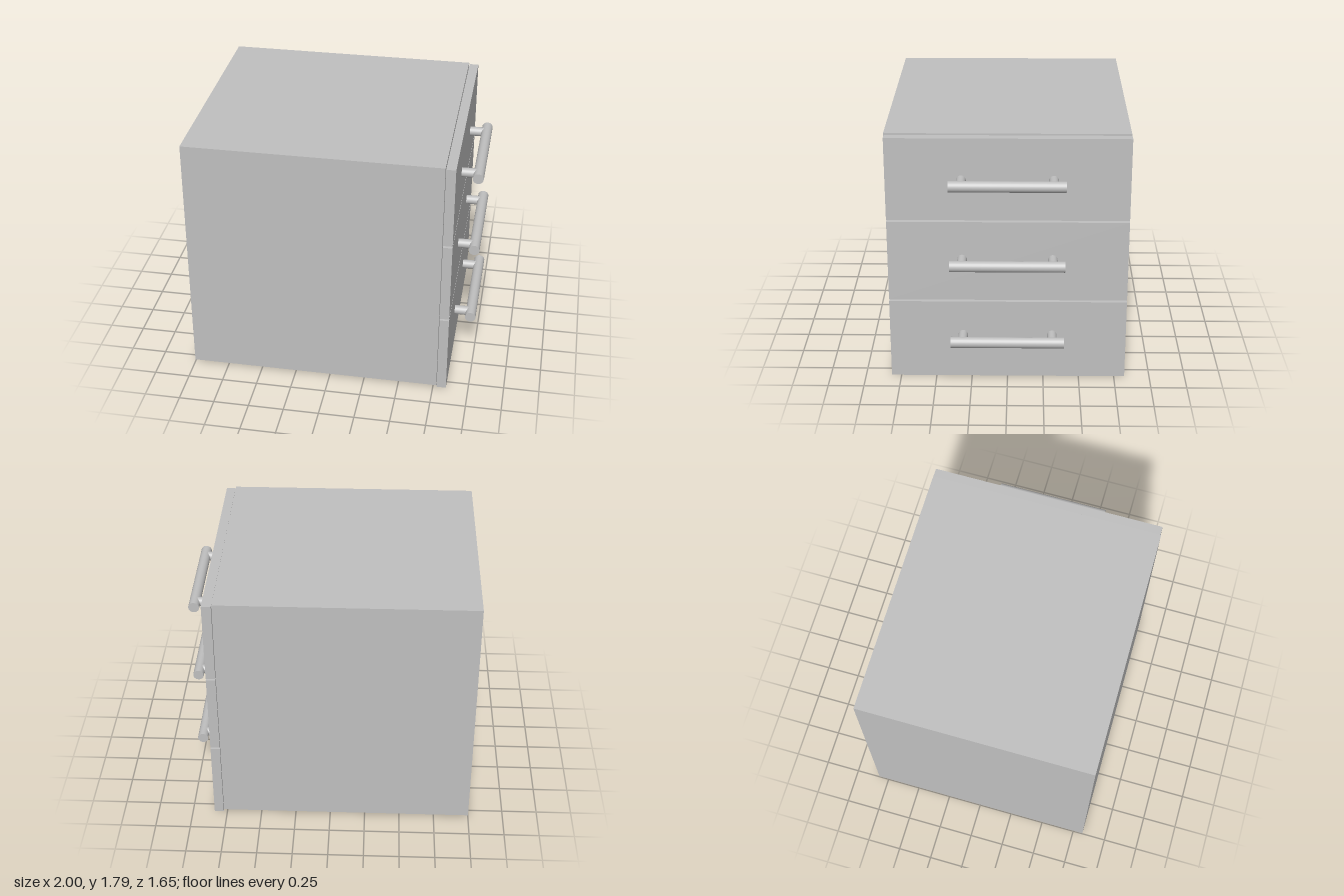
import * as THREE from 'three';

export function createModel() {
  const model = new THREE.Group();
  model.name = 'drawerCabinet';

  const grey = new THREE.MeshStandardMaterial({ color: 0xc0c0c0, side: THREE.DoubleSide });
  grey.name = 'light grey';

  const add = (parent, name, geometry, x, y, z) => {
    const mesh = new THREE.Mesh(geometry, grey);
    mesh.name = name;
    mesh.position.set(x, y, z);
    parent.add(mesh);
    return mesh;
  };

  // Cabinet: a thin shell, open underneath
  const shell = new THREE.BoxGeometry(1.774, 1.771, 1.646);
  const index = Array.from(shell.index.array);
  index.splice(18, 6); // drop the bottom face
  shell.setIndex(index);
  shell.clearGroups();
  add(model, 'cabinet', shell, -0.113, 0.9025, 0);

  // Three drawers, each with a bar handle on two posts
  const frontGeo = new THREE.BoxGeometry(0.066, 0.583, 1.643);
  const barGeo = new THREE.CylinderGeometry(0.038, 0.038, 0.78, 24).rotateX(Math.PI / 2);
  const postGeo = new THREE.CylinderGeometry(0.033, 0.033, 0.12, 24).rotateZ(Math.PI / 2);
  const handleHeights = [0.328, 0.906, 1.484];

  handleHeights.forEach((handleY, i) => {
    const drawer = new THREE.Group();
    drawer.name = 'drawer' + (i + 1);
    add(drawer, 'drawerFront', frontGeo, 0.81, 0.2915 + i * 0.597, -0.003);

    const handle = new THREE.Group();
    handle.name = 'handle';
    add(handle, 'handleBar', barGeo, 0.962, handleY, 0);
    for (const side of [-1, 1]) add(handle, 'handlePost', postGeo, 0.9, handleY, side * 0.309);
    drawer.add(handle);
    model.add(drawer);
  });

  return model;
}
